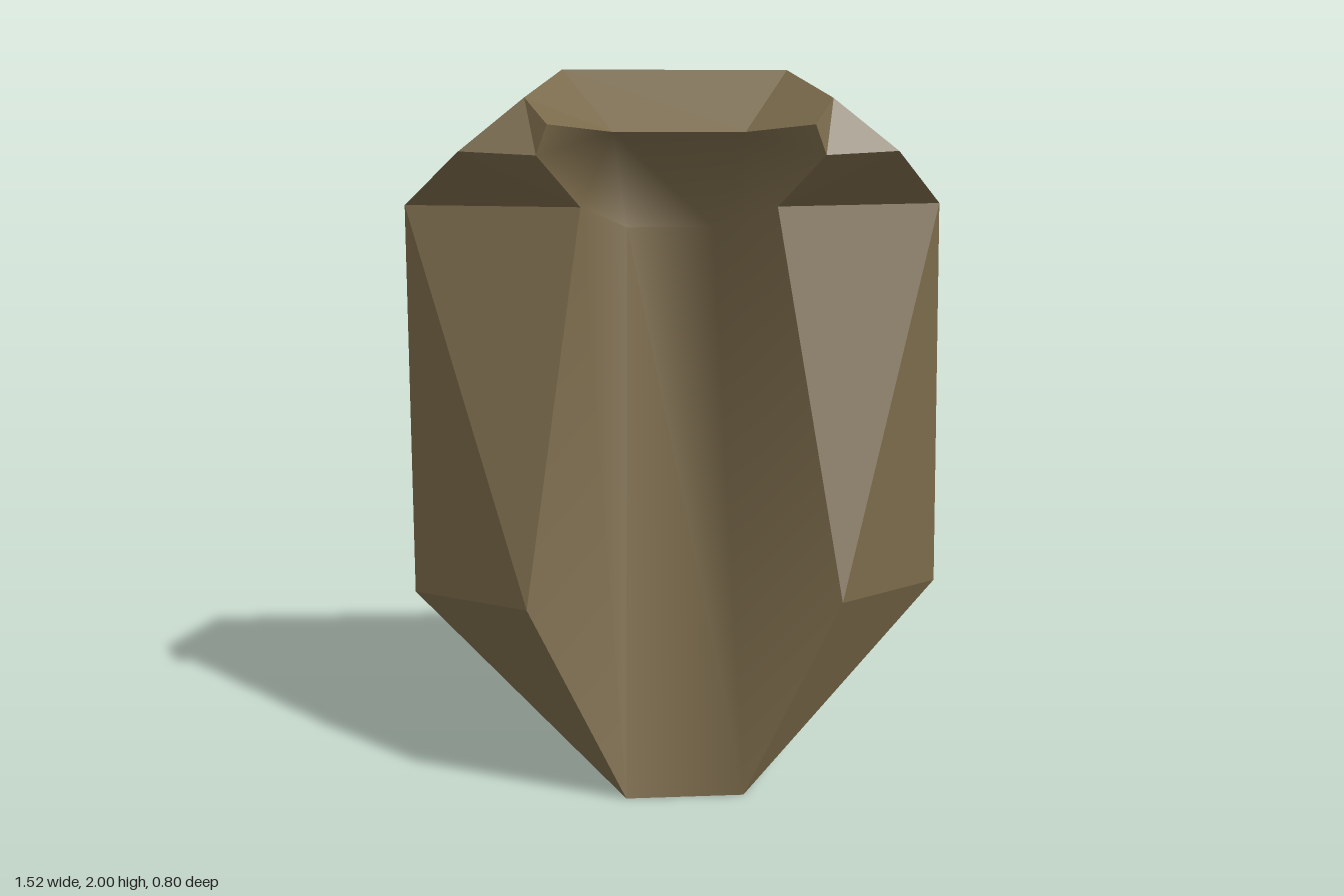
import * as THREE from 'three';
import { mergeVertices } from 'three/addons/utils/BufferGeometryUtils.js';

// Key points of the +x half
const P = {
  ridge: [0.315, 2, -0.02],
  lip: [0.18, 1.83, 0.15],
  browIn: [0.355, 1.85, 0.25],
  browLow: [0.385, 1.77, 0.25],
  browOut: [0.59, 1.78, 0.21],
  browTop: [0.415, 1.92, 0.17],
  colIn: [0.27, 1.63, 0.155],
  colOut: [0.76, 1.63, 0],
  footIn: [0.43, 0.57, 0.4],
  footOut: [0.76, 0.53, 0.1],
  hollow: [0.13, 1.55, -0.22],
  tip: [0.165, 0, 0.375],
  backLow: [0.76, 0.53, -0.4],
  backTop: [0.76, 1.46, -0.4],
};

// A name starting with '-' is the mirrored point
const point = (n) => {
  if (n[0] !== '-') return P[n];
  const [x, y, z] = P[n.slice(1)];
  return [-x, y, z];
};
// Reverse the order but keep the first corner, so the fan is mirrored too
const mirror = ([first, ...rest]) => [first, ...rest.reverse()].map((n) => '-' + n);

// Fan each corner loop into triangles
function shell(loops, smooth) {
  const pos = [];
  for (const loop of loops) {
    for (let i = 1; i < loop.length - 1; i++) {
      for (const n of [loop[0], loop[i], loop[i + 1]]) pos.push(...point(n));
    }
  }
  let geo = new THREE.BufferGeometry();
  geo.setAttribute('position', new THREE.Float32BufferAttribute(pos, 3));
  if (smooth) geo = mergeVertices(geo);
  geo.computeVertexNormals();
  return geo;
}

export function createModel() {
  const group = new THREE.Group();
  group.name = 'hollowShell';
  const brown = new THREE.MeshStandardMaterial({ color: 0x786849, side: THREE.DoubleSide });
  brown.name = 'earthBrown';

  const add = (name, loops, smooth = false) => {
    const mesh = new THREE.Mesh(shell(loops, smooth), brown);
    mesh.name = name;
    group.add(mesh);
  };

  // Parts that exist once per side
  const sides = {
    SidePanel: [['colOut', 'footOut', 'backLow', 'backTop']],
    Shoulder: [['ridge', 'browTop', 'browOut', 'colOut', 'backTop']],
    Brow: [
      ['browLow', 'browOut', 'browTop', 'browIn'],
      ['lip', 'browIn', 'browTop', 'ridge'],
      ['colIn', 'colOut', 'browOut', 'browLow'],
    ],
    FrontColumn: [['colIn', 'footIn', 'colOut'], ['colOut', 'footIn', 'footOut']],
    LowerFlap: [['footIn', 'tip', 'footOut']],
  };
  for (const [name, loops] of Object.entries(sides)) {
    add('left' + name, loops);
    add('right' + name, loops.map(mirror));
  }

  // Parts across the middle; the underside stays open
  add('backPanel', [['backTop', 'backLow', '-backLow', '-backTop']]);
  add('roofSlope', [['ridge', 'backTop', '-backTop', '-ridge']]);
  add('crest', [['-ridge', '-lip', 'lip', 'ridge']]);

  // Smooth channel down the front, deepest under the lip
  const half = [
    ['colIn', 'tip', 'footIn'],
    ['colIn', 'hollow', 'tip'],
    ['lip', 'hollow', 'colIn'],
    ['lip', 'colIn', 'browLow', 'browIn'],
  ];
  add('frontChannel', [
    ...half,
    ...half.map(mirror),
    ['-lip', '-hollow', 'hollow', 'lip'],
    ['-hollow', '-tip', 'tip', 'hollow'],
  ], true);

  return group;
}
